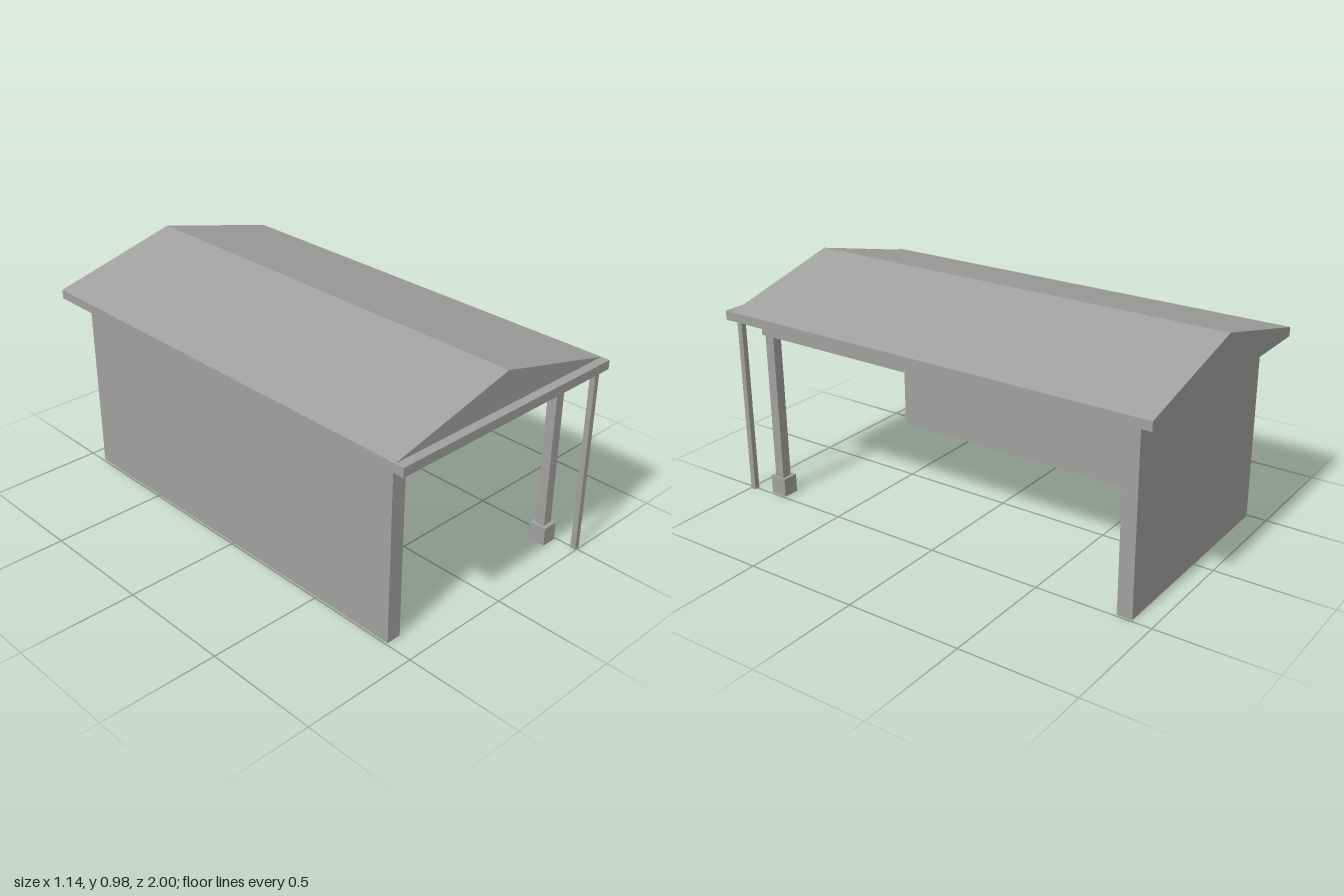
import * as THREE from 'three';

export function createModel() {
  const model = new THREE.Group();
  model.name = 'carport';
  const grey = new THREE.MeshStandardMaterial({ color: 0xa0a09e });
  grey.name = 'plain grey';

  const add = (name, geometry) => {
    const mesh = new THREE.Mesh(geometry, grey);
    mesh.name = name;
    model.add(mesh);
    return mesh;
  };
  // Box given by its limits along each axis
  const box = (name, [x0, x1], [y0, y1], [z0, z1]) =>
    add(name, new THREE.BoxGeometry(x1 - x0, y1 - y0, z1 - z0))
      .position.set((x0 + x1) / 2, (y0 + y1) / 2, (z0 + z1) / 2);

  const eaves = 0.802, beamBottom = 0.737;
  const outer = 0.491, inner = 0.427;
  const front = 0.88, back = -0.915, backInner = -0.85;

  // Solid walls on the right and at the back
  box('rightWall', [-outer, -inner], [0, eaves], [back, front]);
  box('backWall', [-inner, outer], [0, eaves], [back, backInner]);

  // Beams over the two open sides
  box('frontBeam', [-inner, outer], [beamBottom, eaves], [front - 0.064, front]);
  box('sideBeam', [inner, outer], [beamBottom, eaves], [backInner, front - 0.064]);

  // Corner post on its footing
  box('cornerPost', [0.437, 0.481], [0.08, beamBottom], [0.828, 0.872]);
  box('postFooting', [0.42, 0.491], [0, 0.082], [0.813, 0.89]);

  // Drainpipe under the front gutter
  box('drainpipe', [0.491, 0.515], [0, eaves], [0.973, 0.997]);

  // Flat eaves slab with a shallow gable on top
  box('eavesSlab', [-0.571, 0.571], [eaves, 0.841], [-1, 1]);
  const gable = new THREE.Shape([
    new THREE.Vector2(-0.571, 0.841),
    new THREE.Vector2(0.571, 0.841),
    new THREE.Vector2(0, 0.984),
  ]);
  add('gableRoof', new THREE.ExtrudeGeometry(gable, { depth: 1.962, bevelEnabled: false }))
    .position.z = -1;

  // Fittings on the inside of the right wall
  box('wallUnit', [-inner, -0.388], [0.625, beamBottom], [-0.06, 0.022]);
  box('wallSocket', [-inner, -0.405], [0.149, 0.187], [-0.422, -0.397]);

  return model;
}
